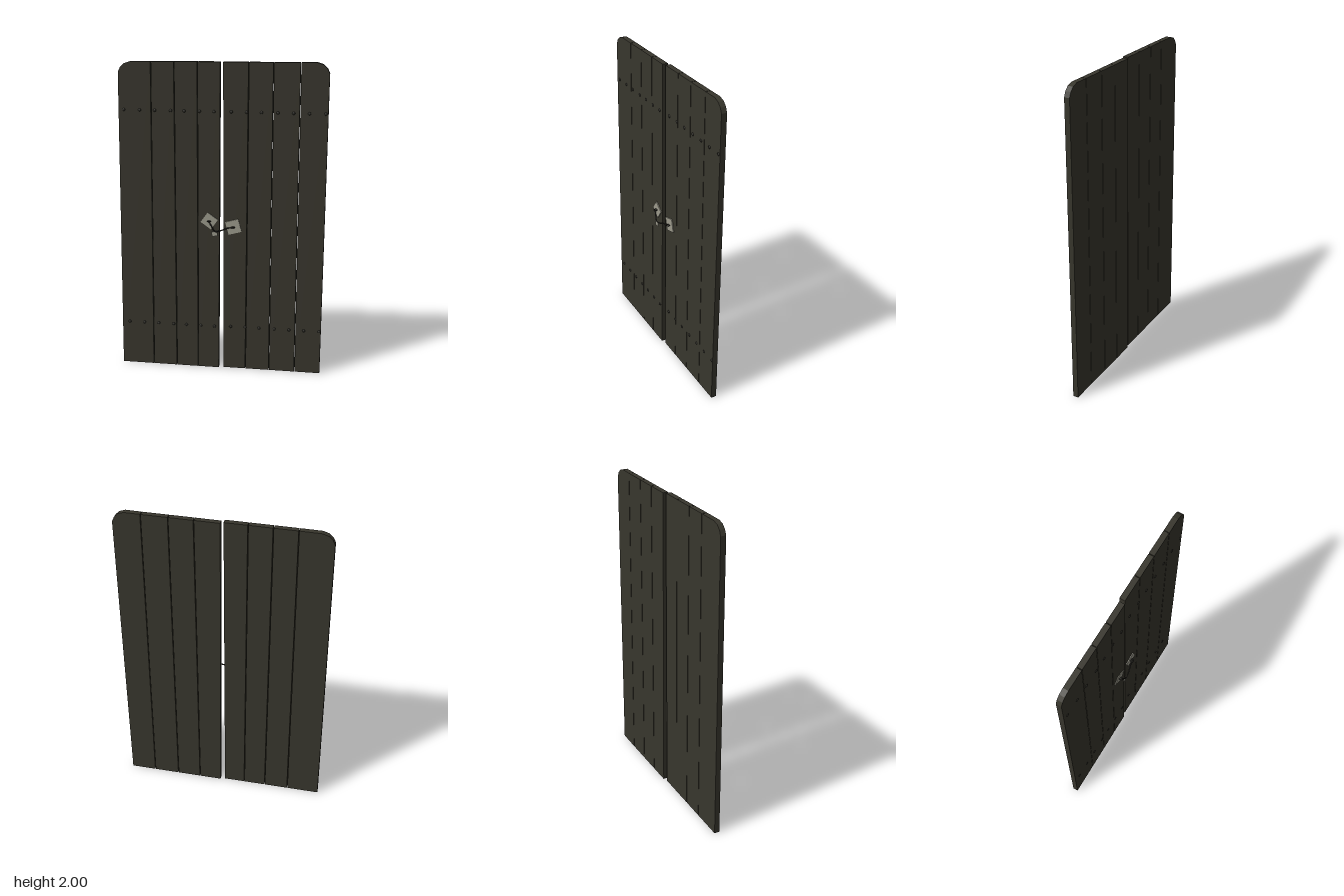
import * as THREE from 'three';

const mat = (name, color) => Object.assign(new THREE.MeshStandardMaterial({ color }), { name });

export function createModel() {
  const root = new THREE.Group();
  root.name = 'plankDoubleDoor';
  const wood = mat('darkWood', 0x38362d);
  const iron = mat('blackIron', 0x2b2a25);
  const steel = mat('paleSteel', 0x9c9a8c);

  const add = (parent, name, geo, material, x = 0, y = 0, z = 0) => {
    const mesh = new THREE.Mesh(geo, material);
    mesh.name = name;
    mesh.position.set(x, y, z);
    parent.add(mesh);
    return mesh;
  };

  // Each leaf: seam positions along the bottom and the top, and its depth range
  const leaves = [
    { name: 'rightLeaf', bottom: [-0.655, -0.447, -0.291, -0.148, -0.012],
      top: [-0.636, -0.43, -0.286, -0.142, -0.002], yOuter: 1.99, yInner: 1.996,
      z: -0.03, corner: 0, rivets: [-0.605, -0.505, -0.41, -0.31, -0.225, -0.13, -0.04] },
    { name: 'leftLeaf', bottom: [0.018, 0.163, 0.318, 0.485, 0.648],
      top: [0.015, 0.17, 0.32, 0.482, 0.654], yOuter: 2, yInner: 1.994,
      z: -0.04, corner: 3, rivets: [0.065, 0.16, 0.25, 0.35, 0.445, 0.54, 0.638] },
  ];
  const depth = 0.034, gap = 0.002;
  const rivetGeo = new THREE.SphereGeometry(0.01, 8, 4, 0, Math.PI * 2, 0, Math.PI / 2);
  rivetGeo.rotateX(Math.PI / 2).scale(1, 1, 0.6);

  for (const leaf of leaves) {
    const group = new THREE.Group();
    group.name = leaf.name;
    root.add(group);

    for (let i = 0; i < 4; i++) {
      const g0 = i > 0 ? gap : 0, g1 = i < 3 ? gap : 0;
      const a = leaf.bottom[i] + g0, b = leaf.bottom[i + 1] - g1;
      const c = leaf.top[i + 1] - g1, d = leaf.top[i] + g0;
      const span = leaf.top[4] - leaf.top[0];
      const topY = x => {
        const t = (x - leaf.top[0]) / span;
        return leaf.corner === 0
          ? THREE.MathUtils.lerp(leaf.yOuter, leaf.yInner, t)
          : THREE.MathUtils.lerp(leaf.yInner, leaf.yOuter, t);
      };
      // Outer planks have a faceted round shoulder
      const shoulder = [[0, 0.065], [0.014, 0.035], [0.038, 0.012], [0.075, 0]];
      const pts = [[a, 0], [b, 0]];
      if (i === leaf.corner && i === 3) {
        shoulder.forEach(([dx, dy]) => pts.push([c - dx, topY(c) - dy]));
      } else pts.push([c, topY(c)]);
      if (i === leaf.corner && i === 0) {
        [...shoulder].reverse().forEach(([dx, dy]) => pts.push([d + dx, topY(d) - dy]));
      } else pts.push([d, topY(d)]);
      const shape = new THREE.Shape(pts.map(p => new THREE.Vector2(...p)));
      add(group, 'plank', new THREE.ExtrudeGeometry(shape, { depth, bevelEnabled: false }),
        wood, 0, 0, leaf.z);
    }

    // Two rows of rivets across the front
    for (const y of [0.29, 1.695])
      for (const x of leaf.rivets) add(group, 'rivet', rivetGeo, iron, x, y, leaf.z + depth);
  }

  // Latch: two tilted plates, each with a staple ring
  const latch = new THREE.Group();
  latch.name = 'latch';
  root.add(latch);
  const ringGeo = new THREE.TorusGeometry(0.01, 0.003, 6, 14).rotateX(Math.PI / 2);
  const plates = [
    { x: -0.071, y: 1.003, z: 0.007, w: 0.08, h: 0.078, turn: -0.62 },
    { x: 0.081, y: 0.967, z: -0.003, w: 0.085, h: 0.085, turn: 0.27 },
  ];
  for (const p of plates) {
    add(latch, 'latchPlate', new THREE.BoxGeometry(p.w, p.h, 0.006), steel, p.x, p.y, p.z)
      .rotation.z = p.turn;
    add(latch, 'stapleRing', ringGeo, iron, p.x, p.y, p.z + 0.012);
  }

  // Bent hook reaching from one ring to the other
  const hook = new THREE.CatmullRomCurve3([
    [-0.071, 1.0, 0.022], [-0.052, 0.972, 0.028], [-0.033, 0.942, 0.03],
    [0.0, 0.946, 0.028], [0.045, 0.962, 0.017], [0.081, 0.967, 0.012],
  ].map(p => new THREE.Vector3(...p)));
  add(latch, 'hook', new THREE.TubeGeometry(hook, 24, 0.004, 6), iron);
  add(latch, 'hookTab', new THREE.BoxGeometry(0.036, 0.03, 0.005), steel, -0.034, 0.926, 0.028)
    .rotation.z = 0.2;

  return root;
}
